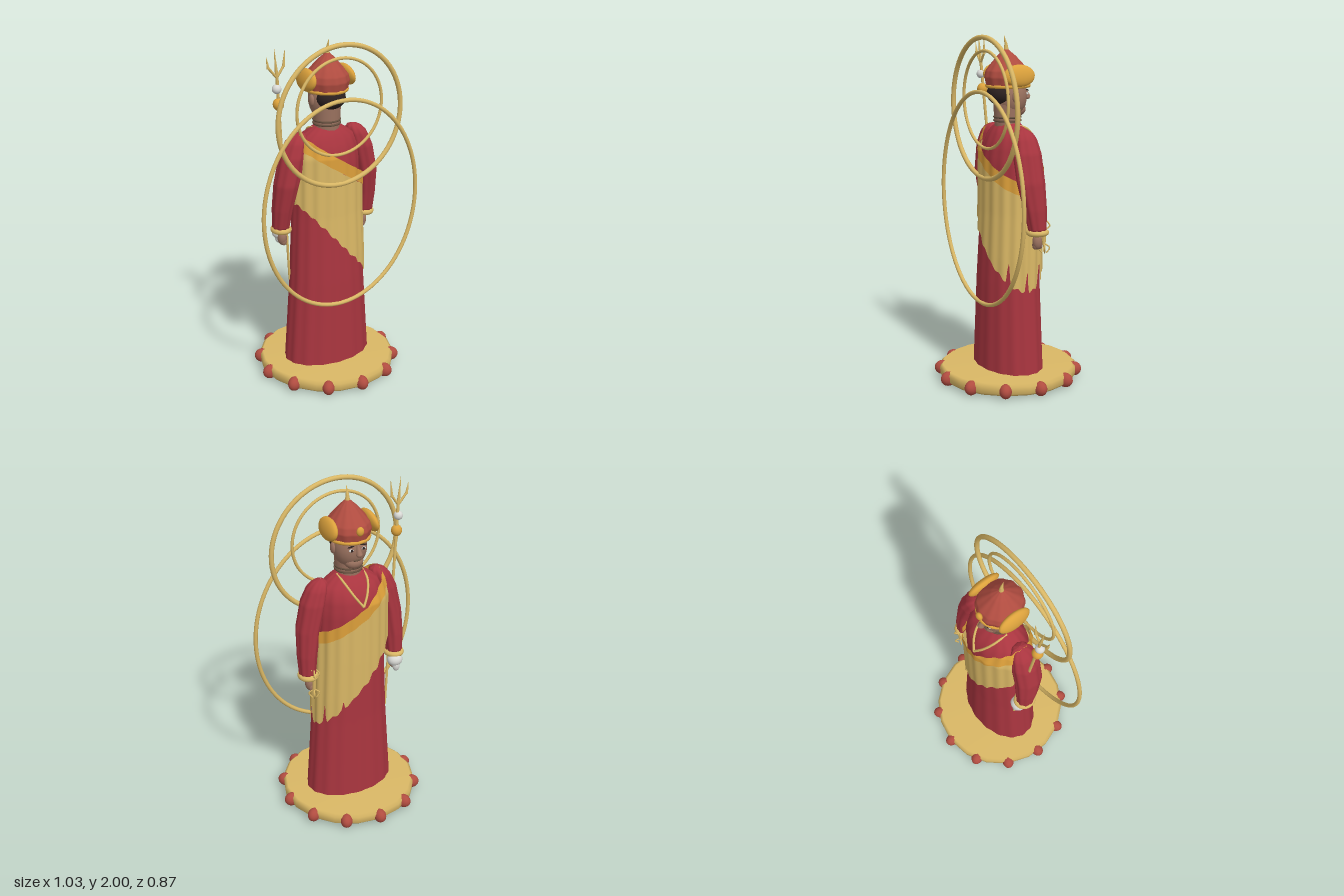
import * as THREE from 'three';

const mat = (name, color, side = THREE.FrontSide) => {
  const m = new THREE.MeshStandardMaterial({ color, side });
  m.name = name;
  return m;
};

// Surface from a rule: u runs round (closed), v runs upward
function grid(f, nu, nv) {
  const pos = [], idx = [];
  for (let i = 0; i <= nv; i++)
    for (let j = 0; j < nu; j++) pos.push(...f((j / nu) * Math.PI * 2, i / nv));
  for (let i = 0; i < nv; i++)
    for (let j = 0; j < nu; j++) {
      const k = (j + 1) % nu, a = i * nu + j, b = i * nu + k, c = a + nu, d = b + nu;
      idx.push(a, c, b, b, c, d);
    }
  const g = new THREE.BufferGeometry();
  g.setAttribute('position', new THREE.Float32BufferAttribute(pos, 3));
  g.setIndex(idx);
  g.computeVertexNormals();
  return g;
}

// Rows are [y, rx, rz, cx, cz] in ascending y; linear lookup at height y
function sample(rows, y) {
  let i = 0;
  while (i < rows.length - 2 && y > rows[i + 1][0]) i++;
  const a = rows[i], b = rows[i + 1];
  const t = THREE.MathUtils.clamp((y - a[0]) / (b[0] - a[0]), 0, 1);
  return a.map((v, k) => v + (b[k] - v) * t);
}

// Pleated elliptical loft through the rows
function loft(rows, nu, nv, pleats = 0, amount = 0) {
  const y0 = rows[0][0], y1 = rows[rows.length - 1][0];
  return grid((u, v) => {
    const y = y0 + (y1 - y0) * v, [, rx, rz, cx, cz] = sample(rows, y);
    const k = 1 + amount * Math.sin(pleats * u);
    return [cx + rx * k * Math.cos(u), y, cz + rz * k * Math.sin(u)];
  }, nu, nv);
}

export function createModel() {
  const root = new THREE.Group();
  const gold = mat('gold', 0xd9b765), orange = mat('orange gold', 0xdca23c);
  const cloth = mat('shawl gold', 0xd9b765, THREE.DoubleSide);
  const hem = mat('shawl border', 0xdc9f3a, THREE.DoubleSide);
  const crimson = mat('crimson', 0xa9353f), red = mat('brick red', 0xb04c40);
  const skin = mat('skin', 0x9c7360), dark = mat('dark hair', 0x2c2120);
  const white = mat('white', 0xd9d9d5), cord = mat('dark cord', 0x66503f);

  const add = (name, geo, m, x = 0, y = 0, z = 0) => {
    const o = new THREE.Mesh(geo, m);
    o.name = name;
    o.position.set(x, y, z);
    root.add(o);
    return o;
  };
  const ball = (name, m, x, y, z, rx, ry = rx, rz = rx) => {
    const o = add(name, new THREE.SphereGeometry(1, 20, 14), m, x, y, z);
    o.scale.set(rx, ry, rz);
    return o;
  };
  const tube = (name, pts, r, m) => add(name, new THREE.TubeGeometry(
    new THREE.CatmullRomCurve3(pts.map(p => new THREE.Vector3(...p))), 20, r, 8), m);
  const rod = (name, a, b, ra, rb, m) => {
    const p = new THREE.Vector3(...a), d = new THREE.Vector3(...b).sub(p), len = d.length();
    const o = add(name, new THREE.CylinderGeometry(rb, ra, len, 10), m);
    o.position.copy(p).addScaledVector(d, 0.5);
    o.quaternion.setFromUnitVectors(new THREE.Vector3(0, 1, 0), d.normalize());
    return o;
  };

  // Base disc with a ring of beads
  add('baseDisc', new THREE.LatheGeometry([[0, 0.015], [0.385, 0.015], [0.4, 0.03], [0.402, 0.07],
    [0.385, 0.085], [0, 0.088]].map(p => new THREE.Vector2(...p)), 18), gold);
  for (let i = 0; i < 12; i++) {
    const a = (i * Math.PI) / 6;
    ball('baseBead', red, 0.388 * Math.cos(a), 0.045, 0.388 * Math.sin(a), 0.046, 0.042, 0.036).rotation.y = -a;
  }

  // Robe
  add('robe', loft([[0.06, 0.268, 0.182, 0, 0], [0.6, 0.23, 0.166, 0, 0], [1, 0.207, 0.155, 0, -0.01],
    [1.3, 0.2, 0.155, 0, -0.015], [1.39, 0.19, 0.14, 0, -0.015], [1.45, 0.165, 0.11, 0, -0.01],
    [1.49, 0.1, 0.078, 0, 0], [1.51, 0.07, 0.058, 0, 0]], 96, 48, 16, 0.012), crimson);

  // Shawl: slants from the right shoulder down to the left hip, ragged at its low end
  const wrap = [[0.5, 0.24, 0.176, 0, 0], [0.75, 0.236, 0.176, 0, -0.005], [1.0, 0.228, 0.172, 0, -0.012],
    [1.35, 0.222, 0.17, 0, -0.015], [1.44, 0.205, 0.14, 0, -0.01], [1.5, 0.18, 0.115, 0, 0]];
  const shawl = (from, to, grow) => grid((u, v) => {
    const x = 0.22 * Math.cos(u);
    const tear = Math.cos(u) > 0.5 ? 0.12 * Math.max(0, Math.sin(11 * u + 1)) ** 8 : 0;
    const low = 0.83 - 1.18 * x + tear + 0.008 * Math.sin(23 * u), high = 1.34 - 0.67 * x;
    const edge = high - 0.075;
    const at = t => (t <= 1 ? low + (edge - low) * t : edge + (high - edge) * (t - 1));
    const y = at(from + (to - from) * v), [, rx, rz, cx, cz] = sample(wrap, y);
    const k = grow + 0.018 * Math.sin(18 * u) + 0.01 * Math.sin(7 * u + 1);
    return [cx + rx * k * Math.cos(u), y, cz + rz * k * Math.sin(u)];
  }, 144, 24);
  add('shawl', shawl(0, 1, 1), cloth);
  add('shawlBorder', shawl(1, 2, 1.02), hem);

  // Sleeves, cuffs and hands
  for (const s of [1, -1]) {
    add('sleeve', loft([[0.92, 0.005, 0.005, s * 0.283, -0.035], [0.925, 0.046, 0.05, s * 0.283, -0.035],
      [1.05, 0.055, 0.066, s * 0.278, -0.022], [1.2, 0.066, 0.08, s * 0.26, -0.004], [1.36, 0.07, 0.08, s * 0.222, 0],
      [1.44, 0.06, 0.065, s * 0.195, 0], [1.475, 0.042, 0.045, s * 0.18, 0], [1.49, 0.003, 0.003, s * 0.172, 0]],
      48, 48, 9, 0.04), crimson);
    const cuff = add('cuff', new THREE.TorusGeometry(0.043, 0.017, 10, 28), gold, s * 0.28, 0.92, -0.037);
    cuff.rotation.x = Math.PI / 2;
    cuff.scale.y = 1.1;
    ball('hand', skin, s * 0.272, 0.865, -0.04, 0.027, 0.045, 0.028);
    for (let i = 0; i < 3; i++) ball('finger', skin, s * 0.268, 0.845, -0.025 - i * 0.018, 0.018, 0.024, 0.011);
  }

  // Shell in the right hand, pronged sceptre in the left
  ball('shell', white, -0.268, 0.885, -0.075, 0.046, 0.04, 0.042);
  ball('shellTip', white, -0.268, 0.85, -0.09, 0.022, 0.035, 0.022);
  rod('sceptreGrip', [0.268, 0.84, -0.085], [0.268, 0.93, -0.09], 0.01, 0.01, gold);
  for (const dir of [1, -1])
    for (let i = 0; i < 4; i++) {
      const a = (i * Math.PI) / 2 + 0.4, c = Math.cos(a), n = Math.sin(a), y = dir > 0 ? 0.925 : 0.85;
      tube('sceptreProng', [[0.268, y, -0.088], [0.268 + c * 0.03, y + dir * 0.025, -0.088 + n * 0.03],
        [0.268 + c * 0.012, y + dir * 0.055, -0.088 + n * 0.012]], 0.004, gold);
    }

  // Trident
  rod('tridentShaft', [-0.215, 0.58, -0.06], [-0.317, 1.84, 0.01], 0.007, 0.009, gold);
  ball('tridentKnob', orange, -0.307, 1.67, 0.005, 0.031, 0.034, 0.031);
  ball('tridentPearl', white, -0.318, 1.757, 0.008, 0.026);
  rod('tridentPoint', [-0.317, 1.83, 0.01], [-0.333, 1.98, 0.015], 0.01, 0.001, gold);
  for (const [mx, tx, ty] of [[-0.368, -0.38, 1.94], [-0.275, -0.268, 1.968]]) {
    tube('tridentArm', [[-0.317, 1.82, 0.01], [(mx - 0.317) / 2, 1.85, 0.01], [mx, 1.88, 0.01]], 0.007, gold);
    rod('tridentTip', [mx, 1.875, 0.01], [tx, ty, 0.012], 0.009, 0.001, gold);
  }

  // Neck and head
  add('neck', new THREE.CylinderGeometry(0.08, 0.072, 0.14, 28), skin, 0, 1.55, 0.003);
  for (const y of [1.52, 1.54]) add('neckCord', new THREE.TorusGeometry(0.075, 0.006, 8, 32), cord, 0, y, 0.003).rotation.x = Math.PI / 2;
  for (const s of [1, -1])
    tube('chestCord', [[s * 0.078, 1.5, -0.01], [s * 0.07, 1.47, -0.09], [s * 0.04, 1.41, -0.145], [0, 1.35, -0.178]], 0.007, gold);
  ball('head', skin, 0, 1.655, -0.012, 0.096, 0.122, 0.098);
  ball('chin', skin, 0, 1.58, -0.06, 0.055, 0.04, 0.045);
  ball('hair', dark, 0, 1.672, 0.048, 0.086, 0.066, 0.074);
  const nose = rod('nose', [0, 1.695, -0.105], [0, 1.645, -0.125], 0.008, 0.018, skin);
  nose.scale.z = 1.1;
  ball('noseTip', skin, 0, 1.645, -0.122, 0.018, 0.014, 0.018);
  ball('mouth', cord, 0, 1.603, -0.101, 0.026, 0.006, 0.006);
  for (const s of [1, -1]) {
    ball('ear', skin, s * 0.096, 1.658, 0, 0.014, 0.034, 0.022);
    ball('eyeWhite', white, s * 0.036, 1.668, -0.1, 0.016, 0.008, 0.008);
    ball('pupil', dark, s * 0.036, 1.668, -0.105, 0.008, 0.008, 0.005);
    ball('eyebrow', dark, s * 0.038, 1.69, -0.1, 0.023, 0.004, 0.006).rotation.z = s * -0.12;
  }

  // Fluted pointed hat with band, jewel, side rosettes and finial
  add('hat', loft([[1.712, 0.09, 0.1, 0, 0], [1.716, 0.113, 0.122, 0, 0.002], [1.765, 0.124, 0.132, 0, 0.002],
    [1.8, 0.115, 0.122, 0, 0.004], [1.83, 0.092, 0.098, 0, 0.006], [1.88, 0.05, 0.053, 0, 0.008],
    [1.92, 0.008, 0.008, 0, 0.012]], 80, 40, 12, 0.02), red);
  const band = add('hatBand', new THREE.TorusGeometry(0.12, 0.01, 10, 40), orange, 0, 1.715, 0);
  band.rotation.x = Math.PI / 2;
  band.scale.x = 0.94;
  ball('hatJewel', orange, 0, 1.785, -0.132, 0.022, 0.026, 0.016);
  for (const s of [1, -1]) {
    ball('hatRosette', orange, s * 0.126, 1.778, -0.005, 0.029, 0.062, 0.097).rotation.z = s * 0.2;
  }
  rod('finialBase', [0, 1.9, 0.01], [0, 1.945, 0.012], 0.016, 0.009, gold);
  rod('finial', [0, 1.945, 0.012], [0, 1.993, 0.024], 0.009, 0.001, gold);

  // Halo rings behind the back
  const ring = (name, y, z, rx, ry, t) => {
    const path = new THREE.CatmullRomCurve3(Array.from({ length: 48 }, (_, i) => {
      const a = (i / 48) * Math.PI * 2;
      return new THREE.Vector3(rx * Math.cos(a), y + ry * Math.sin(a), z);
    }), true);
    add(name, new THREE.TubeGeometry(path, 96, t, 10, true), gold);
  };
  ring('largeHalo', 1.592, 0.152, 0.394, 0.394, 0.014);
  ring('smallHalo', 1.64, 0.142, 0.272, 0.272, 0.009);
  ring('bodyRing', 1.077, 0.172, 0.502, 0.608, 0.012);
  return root;
}
